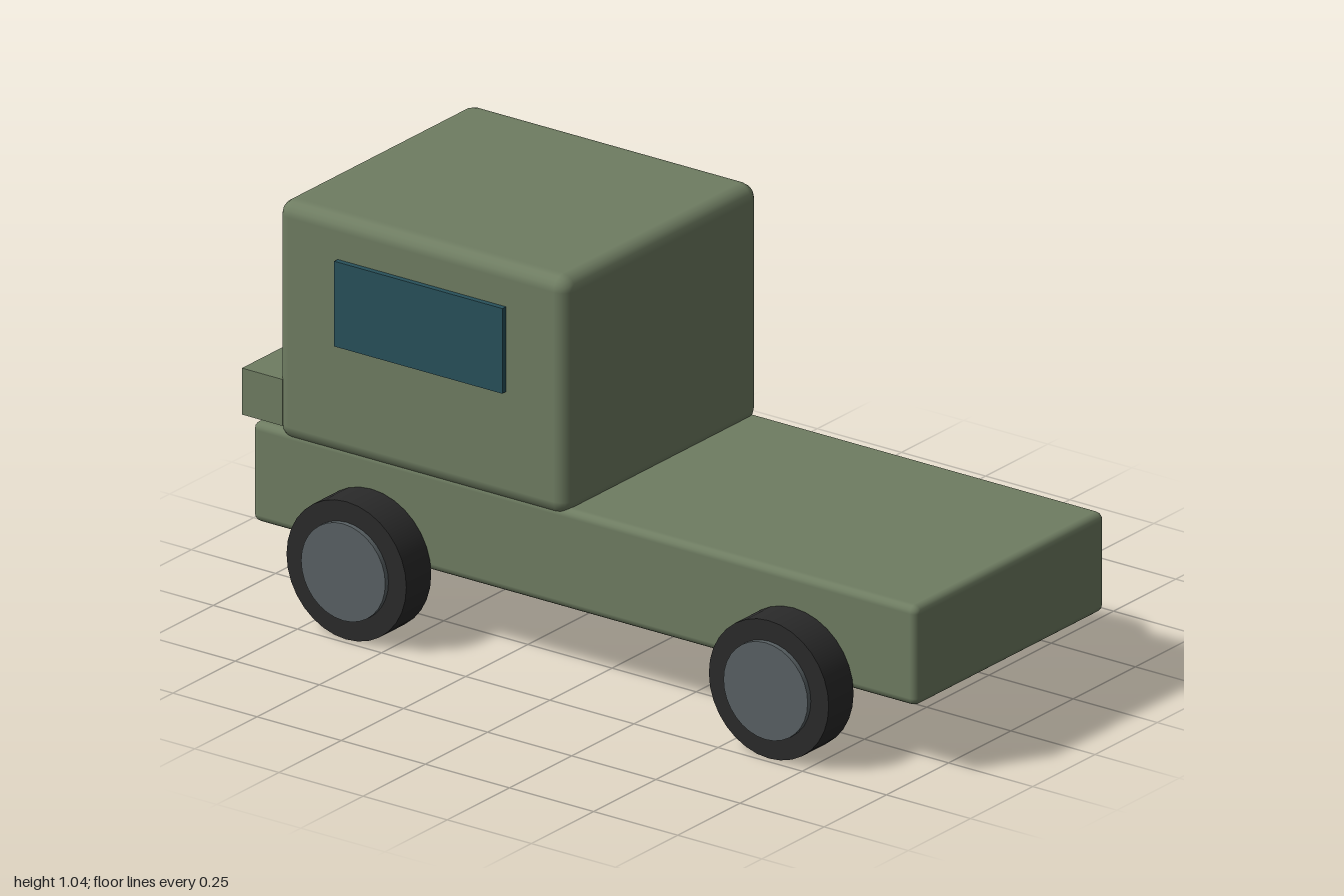
import * as THREE from 'three';
import { RoundedBoxGeometry } from 'three/addons/geometries/RoundedBoxGeometry.js';

function paint(name, color) {
  const m = new THREE.MeshStandardMaterial({ color });
  m.name = name;
  return m;
}

export function createModel() {
  const truck = new THREE.Group();
  truck.name = 'truck';

  const green = paint('olive green paint', 0x6f7d62);
  const rubber = paint('black rubber', 0x2a2a2a);
  const metal = paint('grey hub metal', 0x596164);
  const glass = paint('dark blue glass', 0x28505a);

  const add = (name, geometry, material, x, y, z) => {
    const mesh = new THREE.Mesh(geometry, material);
    mesh.name = name;
    mesh.position.set(x, y, z);
    truck.add(mesh);
    return mesh;
  };

  // Long bed and tall cab with softened edges
  add('chassis', new RoundedBoxGeometry(0.76, 0.258, 1.975, 2, 0.02), green, 0, 0.313, 0.0125);
  add('cab', new RoundedBoxGeometry(0.78, 0.617, 0.862, 2, 0.038), green, 0, 0.7285, -0.464);

  // Square bumper across the cab
  add('bumper', new THREE.BoxGeometry(0.77, 0.12, 0.12), green, 0, 0.515, -0.94);

  // Raised panes
  add('windscreen', new THREE.BoxGeometry(0.655, 0.26, 0.018), glass, 0, 0.81, -0.902);
  for (const side of [1, -1]) {
    add('sideWindow', new THREE.BoxGeometry(0.015, 0.22, 0.5), glass, side * 0.397, 0.818, -0.462);
  }

  // Four wheels, each a tyre with a protruding hub disc
  const tyre = new THREE.CylinderGeometry(0.178, 0.178, 0.1, 32).rotateZ(Math.PI / 2);
  const hub = new THREE.CylinderGeometry(0.125, 0.125, 0.03, 32).rotateZ(Math.PI / 2);
  for (const z of [0.638, -0.617]) {
    for (const side of [1, -1]) {
      add('tyre', tyre, rubber, side * 0.433, 0.178, z);
      add('hub', hub, metal, side * 0.481, 0.178, z);
    }
  }
  return truck;
}
